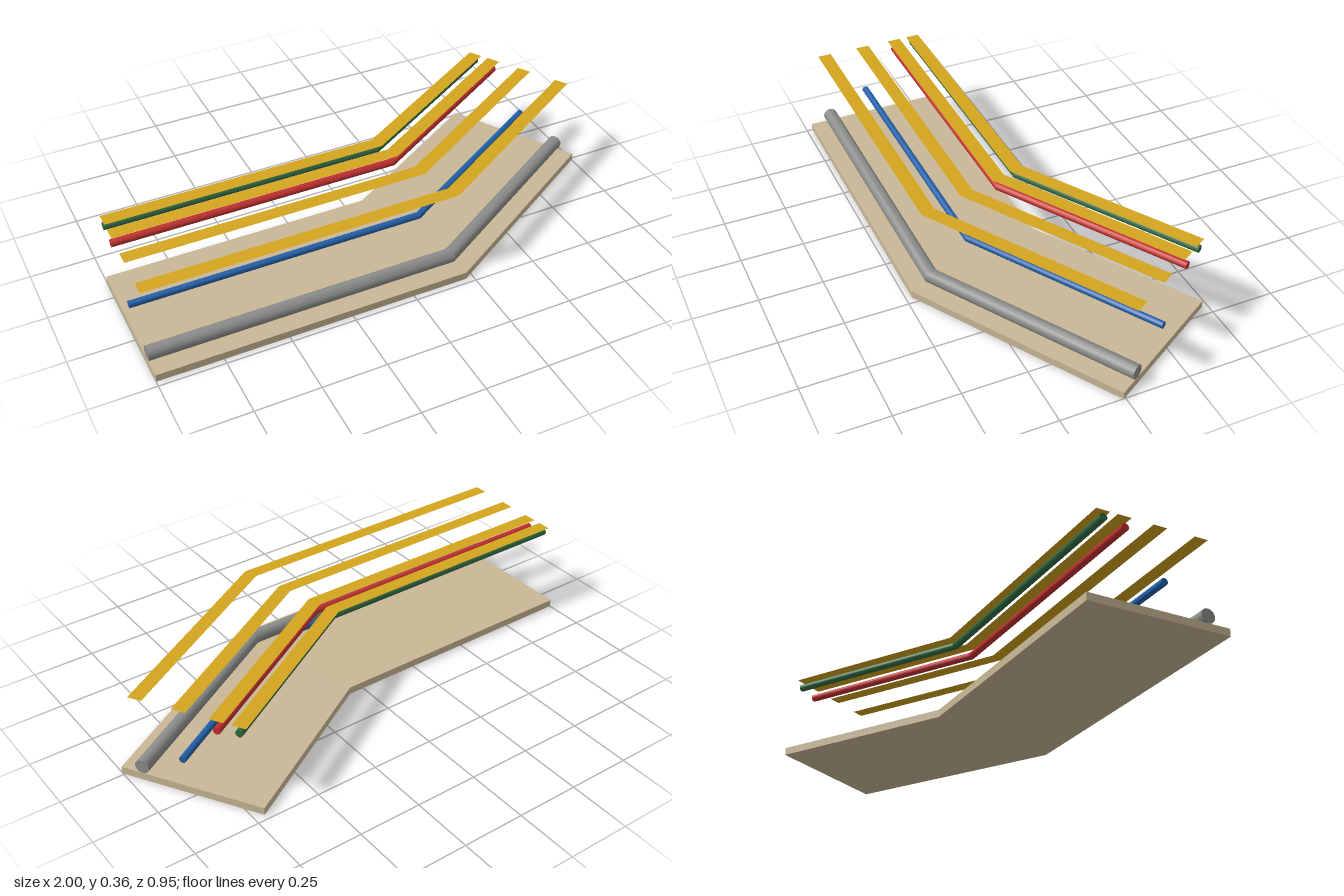
import * as THREE from 'three';
import { toCreasedNormals } from 'three/addons/utils/BufferGeometryUtils.js';

const TURN = THREE.MathUtils.degToRad(31); // bend of the run towards the back
const BACK = -0.09, FRONT = 0.477;         // edges of the slab on the straight leg
const BEND_X = 0.063, END_X = 0.71, END_Z = -0.477; // bend and far end at the back edge

// Moves a straight run with stations x = -1, 0, 1 onto the mitred, bent route.
function bend(geometry) {
  const p = geometry.attributes.position;
  for (let i = 0; i < p.count; i++) {
    const x = p.getX(i), z = p.getZ(i), across = z - BACK;
    if (x < -0.5) p.setX(i, -1);
    else if (x < 0.5) p.setX(i, BEND_X + across * Math.tan(TURN / 2));
    else {
      p.setX(i, END_X + across * Math.sin(TURN));
      p.setZ(i, END_Z + across * Math.cos(TURN));
    }
  }
  return toCreasedNormals(geometry, 0.45);
}

function material(name, color, side = THREE.FrontSide) {
  const m = new THREE.MeshStandardMaterial({ color, side });
  m.name = name;
  return m;
}

export function createModel() {
  const model = new THREE.Group();
  model.name = 'bentPipeRun';

  const add = (name, geometry, mat) => {
    const mesh = new THREE.Mesh(bend(geometry), mat);
    mesh.name = name;
    model.add(mesh);
  };

  // Ground slab
  const slab = new THREE.BoxGeometry(2, 0.03, FRONT - BACK, 2, 1, 1);
  slab.translate(0, 0.015, (FRONT + BACK) / 2);
  add('slab', slab, material('sand', 0xc9b896));

  // Pipes, each with a flat marker strip floating above it
  const gold = material('gold', 0xd4a51e, THREE.DoubleSide);
  const pipes = [
    ['grey', 0x8a8d8a, 0.39, 0.058, 0.028],
    ['blue', 0x2260a8, 0.22, 0.145, 0.0135],
    ['red', 0xc23030, 0.076, 0.316, 0.0145],
    ['green', 0x336b42, -0.009, 0.331, 0.0145],
  ];
  for (const [name, color, z, y, radius] of pipes) {
    const pipe = new THREE.CylinderGeometry(radius, radius, 2, 20, 2);
    pipe.rotateZ(-Math.PI / 2).translate(0, y, z);
    add(name + 'Pipe', pipe, material(name, color));

    const strip = new THREE.PlaneGeometry(2, 0.055, 2, 1);
    strip.rotateX(-Math.PI / 2).translate(0, 0.358, z);
    add(name + 'PipeMarkerStrip', strip, gold);
  }
  return model;
}
